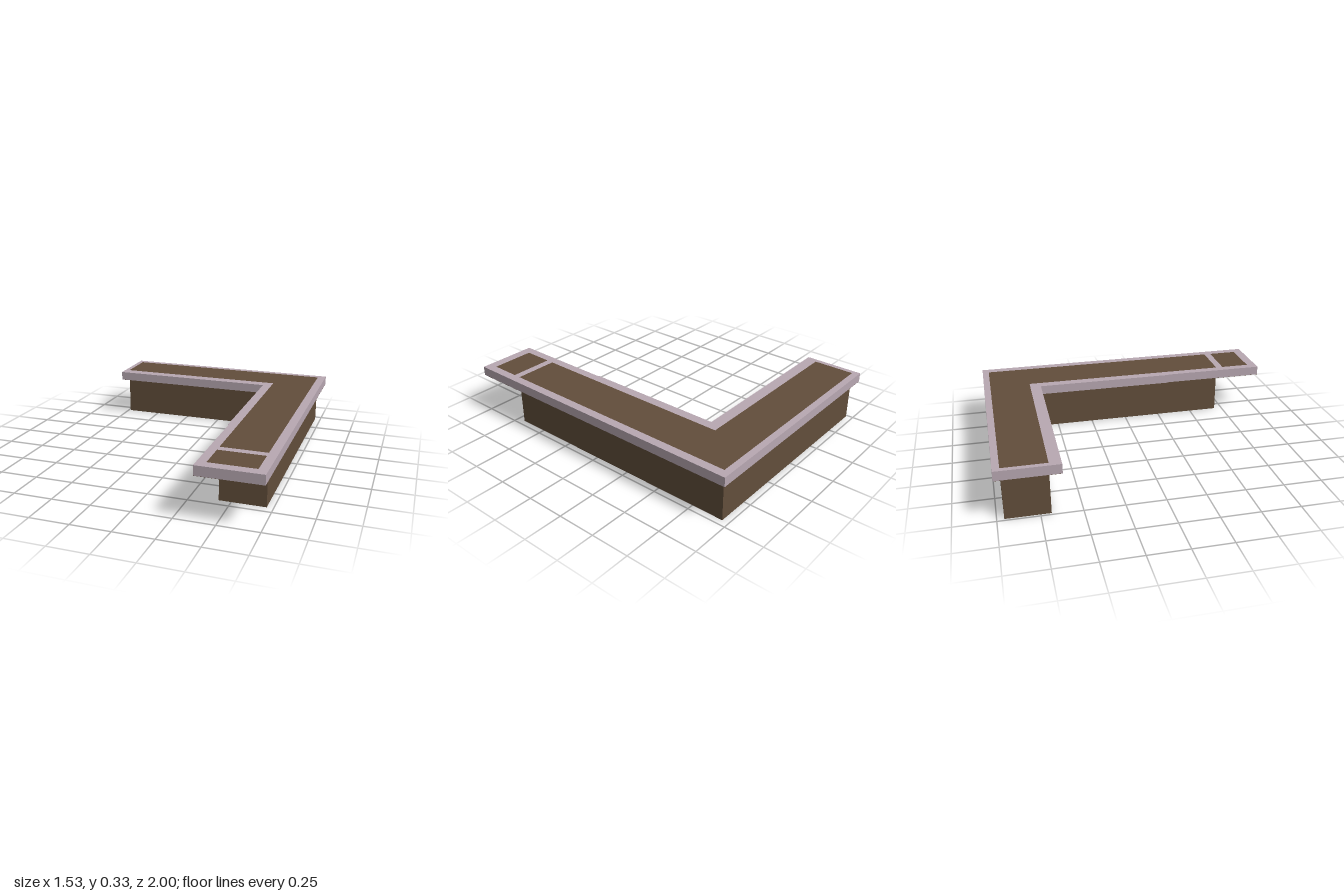
import * as THREE from 'three';

const BROWN = new THREE.MeshStandardMaterial({ color: 0x624e3b });
const LILAC = new THREE.MeshStandardMaterial({ color: 0xb8a8b2 });

const TOP = 0.333, UNDER = 0.272, SKIN = 0.001;

// plan points are [x, z]
const toPoints = (plan) => plan.map(([x, z]) => new THREE.Vector2(x, -z));

// upright prism from a plan outline, with optional holes
function prism(name, plan, y0, y1, material, holes = []) {
  const shape = new THREE.Shape(toPoints(plan));
  holes.forEach((h) => shape.holes.push(new THREE.Path(toPoints(h))));
  const geo = new THREE.ExtrudeGeometry(shape, { depth: y1 - y0, bevelEnabled: false });
  geo.rotateX(-Math.PI / 2).translate(0, y0, 0);
  const mesh = new THREE.Mesh(geo, material);
  mesh.name = name;
  return mesh;
}

// L-shaped plan of the body, its long arm ending at zEnd
const bodyPlan = (zEnd) => [
  [-0.735, -0.957], [0.71, -0.957], [0.71, zEnd],
  [0.425, zEnd], [0.425, -0.686], [-0.735, -0.686],
];

export function createModel() {
  const group = new THREE.Group();
  group.name = 'cornerCounter';

  // outline of the countertop, with a small step along the inner edge
  const topPlan = [
    [-0.767, -1], [0.765, -1], [0.765, 1], [0.37, 1],
    [0.37, 0.31], [0.364, 0.31], [0.364, -0.613], [-0.767, -0.613],
  ];
  const body = bodyPlan(0.695);
  const pad = [[0.425, 0.743], [0.71, 0.743], [0.71, 0.937], [0.425, 0.937]];

  group.add(
    // body rises through the trim and shows as the inset worktop
    prism('counterBody', body, 0, TOP, BROWN),
    prism('endInset', pad, UNDER + SKIN, TOP, BROWN),
    // trim frame around both insets, with the divider between them
    prism('countertopTrim', topPlan, UNDER + SKIN, TOP, LILAC, [body, pad]),
    // brown underside of the overhang, leaving the divider bare
    prism('overhangUnderside', topPlan, UNDER, UNDER + SKIN, BROWN, [bodyPlan(0.743)]),
  );
  return group;
}
